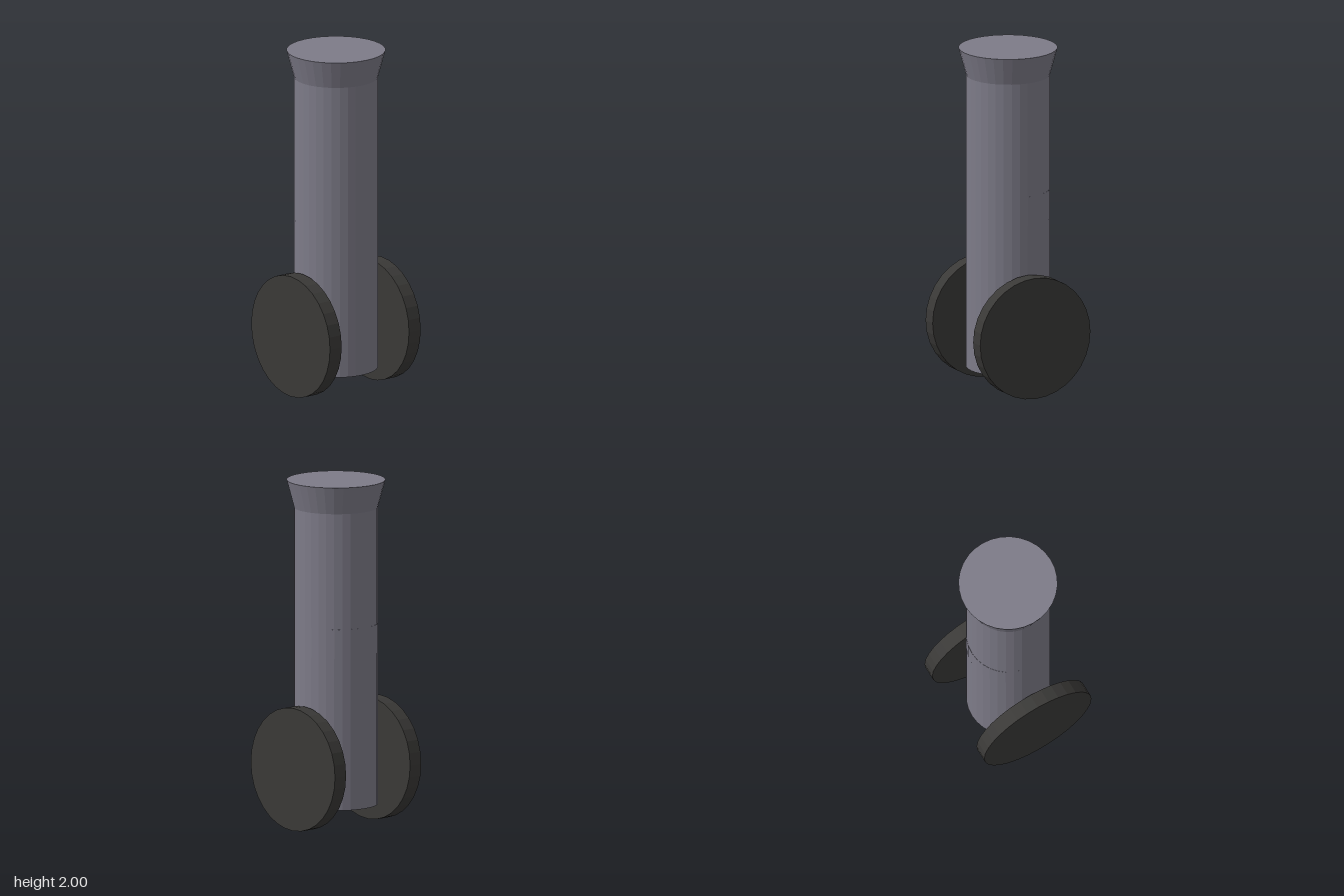
import * as THREE from 'three';

const SIDES = 32;

export function createModel() {
  const model = new THREE.Group();
  model.name = 'cannon';
  const metal = new THREE.MeshStandardMaterial({ color: 0x7d7b88, flatShading: true });
  const dark = new THREE.MeshStandardMaterial({ color: 0x3a3937, flatShading: true });

  function disc(name, rTop, rBottom, height, material) {
    const mesh = new THREE.Mesh(new THREE.CylinderGeometry(rTop, rBottom, height, SIDES), material);
    mesh.name = name;
    model.add(mesh);
    return mesh;
  }

  // Upright barrel with a flared, closed muzzle
  disc('barrel', 0.24, 0.24, 1.72, metal).position.y = 0.98;
  disc('muzzle', 0.283, 0.24, 0.16, metal).position.y = 1.92;

  // Band set almost flush in the barrel, barely proud at the back
  disc('band', 0.24, 0.24, 0.17, metal).position.set(0, 1.085, -0.001);

  // Solid wheels on both sides
  for (const side of [-1, 1]) {
    const wheel = disc(side > 0 ? 'leftWheel' : 'rightWheel', 0.356, 0.356, 0.086, dark);
    wheel.rotation.z = Math.PI / 2;
    wheel.position.set(side * 0.291, 0.356, 0);
  }

  return model;
}
